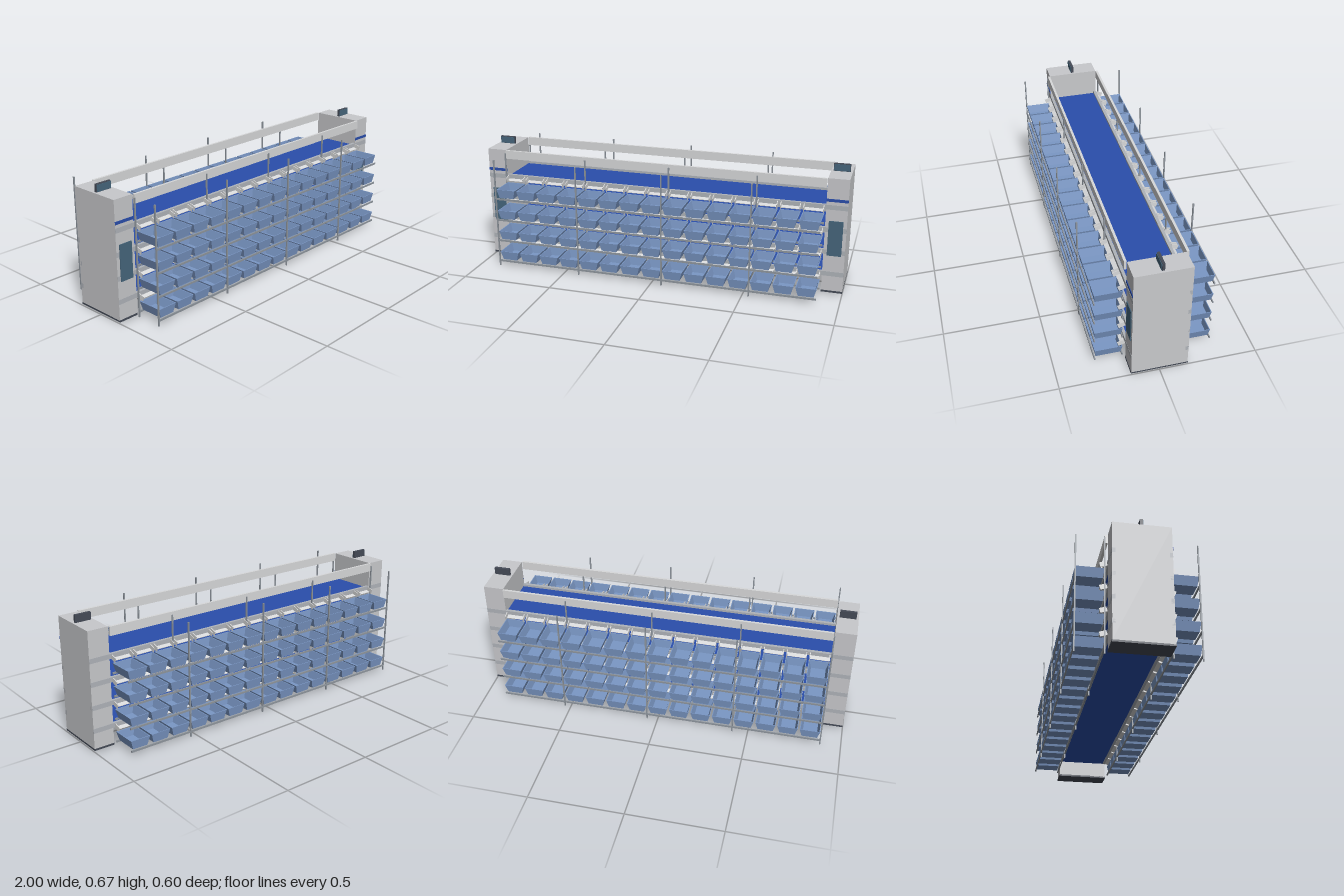
import * as THREE from 'three';

const mat = (name, color) => {
  const m = new THREE.MeshStandardMaterial({ color });
  m.name = name;
  return m;
};

// Open tapered bin, built from rectangular rings [halfX, halfZ, y]
function binGeometry() {
  const rings = [
    [0, 0, 0], [0.041, 0.063, 0], [0.054, 0.07, 0.048],
    [0.05, 0.066, 0.048], [0.038, 0.06, 0.004], [0, 0, 0.004],
  ];
  const corners = [[-1, -1], [1, -1], [1, 1], [-1, 1]];
  const at = (r, k) => [corners[k % 4][0] * r[0], r[2], corners[k % 4][1] * r[1]];
  const pos = [];
  for (let i = 0; i < rings.length - 1; i++) {
    const [a, b] = [rings[i], rings[i + 1]];
    for (let k = 0; k < 4; k++) {
      pos.push(...at(a, k), ...at(b, k), ...at(b, k + 1));
      pos.push(...at(a, k), ...at(b, k + 1), ...at(a, k + 1));
    }
  }
  const g = new THREE.BufferGeometry();
  g.setAttribute('position', new THREE.Float32BufferAttribute(pos, 3));
  g.computeVertexNormals();
  return g;
}

export function createModel() {
  const root = new THREE.Group();
  root.name = 'sortingRack';

  const cabinetGrey = mat('cabinetGrey', 0xc8c9cc);
  const lightGrey = mat('lightGrey', 0xd8d9da);
  const bandGrey = mat('bandGrey', 0xb0b4ba);
  const postGrey = mat('postGrey', 0x8f969e);
  const darkGrey = mat('darkGrey', 0x454b57);
  const screenTeal = mat('screenTeal', 0x46667c);
  const beltBlue = mat('beltBlue', 0x2a4eac);
  const binBlue = mat('binBlue', 0x7b98c6);

  // Box given by its limits on each axis
  const box = (parent, name, m, [x0, x1], [y0, y1], [z0, z1]) => {
    const mesh = new THREE.Mesh(new THREE.BoxGeometry(x1 - x0, y1 - y0, z1 - z0), m);
    mesh.position.set((x0 + x1) / 2, (y0 + y1) / 2, (z0 + z1) / 2);
    mesh.name = name;
    parent.add(mesh);
    return mesh;
  };

  const pitch = 0.1186, bins = 15;
  const levels = [0, 1, 2, 3].map((i) => i * 0.1217);

  // End cabinets with plinth, screens and stripe
  for (const s of [-1, 1]) {
    const cab = new THREE.Group();
    cab.name = s > 0 ? 'leftCabinet' : 'rightCabinet';
    cab.position.x = s * 0.945;
    root.add(cab);
    box(cab, 'cabinetBody', cabinetGrey, [-0.055, 0.055], [0.016, 0.631], [-0.143, 0.143]);
    box(cab, 'plinth', darkGrey, [-0.055, 0.055], [0.008, 0.018], [-0.145, 0.145]);
    box(cab, 'blueStripe', beltBlue, [-0.055, 0.055], [0.508, 0.523], [0.143, 0.146]);
    box(cab, 'controlPanel', screenTeal, [-0.037, 0.037], [0.215, 0.405], [0.143, 0.147]);
    box(cab, 'topMonitor', darkGrey, [-0.043, 0.043], [0.631, 0.671], [-0.007, 0.007]);
    box(cab, 'monitorFace', screenTeal, [-0.041, 0.041], [0.633, 0.668], [0.007, 0.01]);
  }

  // Conveyor belts with their side rails
  for (const y of levels) {
    box(root, 'belt', beltBlue, [-0.895, 0.895], [0.102 + y, 0.112 + y], [-0.128, 0.128]);
    for (const s of [-1, 1]) {
      box(root, 'beltSideRail', bandGrey, [-1, 1], [0.1 + y, 0.125 + y],
        s > 0 ? [0.128, 0.1438] : [-0.1438, -0.128]);
    }
  }

  const binGeo = binGeometry();
  const wallGeo = new THREE.BoxGeometry(0.004, 0.025, 0.036);
  const floorGeo = new THREE.BoxGeometry(0.1, 0.003, 0.024);

  for (const s of [-1, 1]) {
    const side = new THREE.Group();
    side.name = s > 0 ? 'frontRack' : 'backRack';
    root.add(side);
    const span = (z0, z1) => (s > 0 ? [z0, z1] : [-z1, -z0]);

    // Upper cover rail
    box(side, 'topRail', lightGrey, [-0.887, 0.887], [0.585, 0.632], span(0.143, 0.156));

    // Upright posts and shelf beams
    for (const z of [0.158, 0.297]) {
      for (let k = 0; k < 4; k++) {
        const x = (k * 4 - 7.5) * pitch;
        box(side, 'post', postGrey, [x - 0.0035, x + 0.0035], [0, 0.616], span(z - 0.0035, z + 0.0035));
      }
      for (const y of levels) {
        box(side, 'shelfBeam', postGrey, [-0.89, 0.885], [0.024 + y, 0.034 + y], span(z - 0.003, z + 0.003));
      }
    }

    // Bins, each fed by a small tilted chute
    for (const y of levels) {
      for (let i = 0; i < bins; i++) {
        const x = (i - (bins - 1) / 2) * pitch;
        const bin = new THREE.Mesh(binGeo, binBlue);
        bin.name = 'bin';
        bin.position.set(x, 0.035 + y, s * 0.227);
        side.add(bin);

        const chute = new THREE.Group();
        chute.name = 'chute';
        chute.position.set(x, 0.106 + y, s * 0.163);
        chute.rotation.x = s * 0.32;
        for (const e of [-1, 1]) {
          const wall = new THREE.Mesh(wallGeo, lightGrey);
          wall.name = 'chuteWall';
          wall.position.x = e * 0.05;
          chute.add(wall);
        }
        const floor = new THREE.Mesh(floorGeo, lightGrey);
        floor.name = 'chuteFloor';
        floor.position.set(0, -0.011, -s * 0.006);
        chute.add(floor);
        side.add(chute);
      }
    }
  }
  return root;
}
